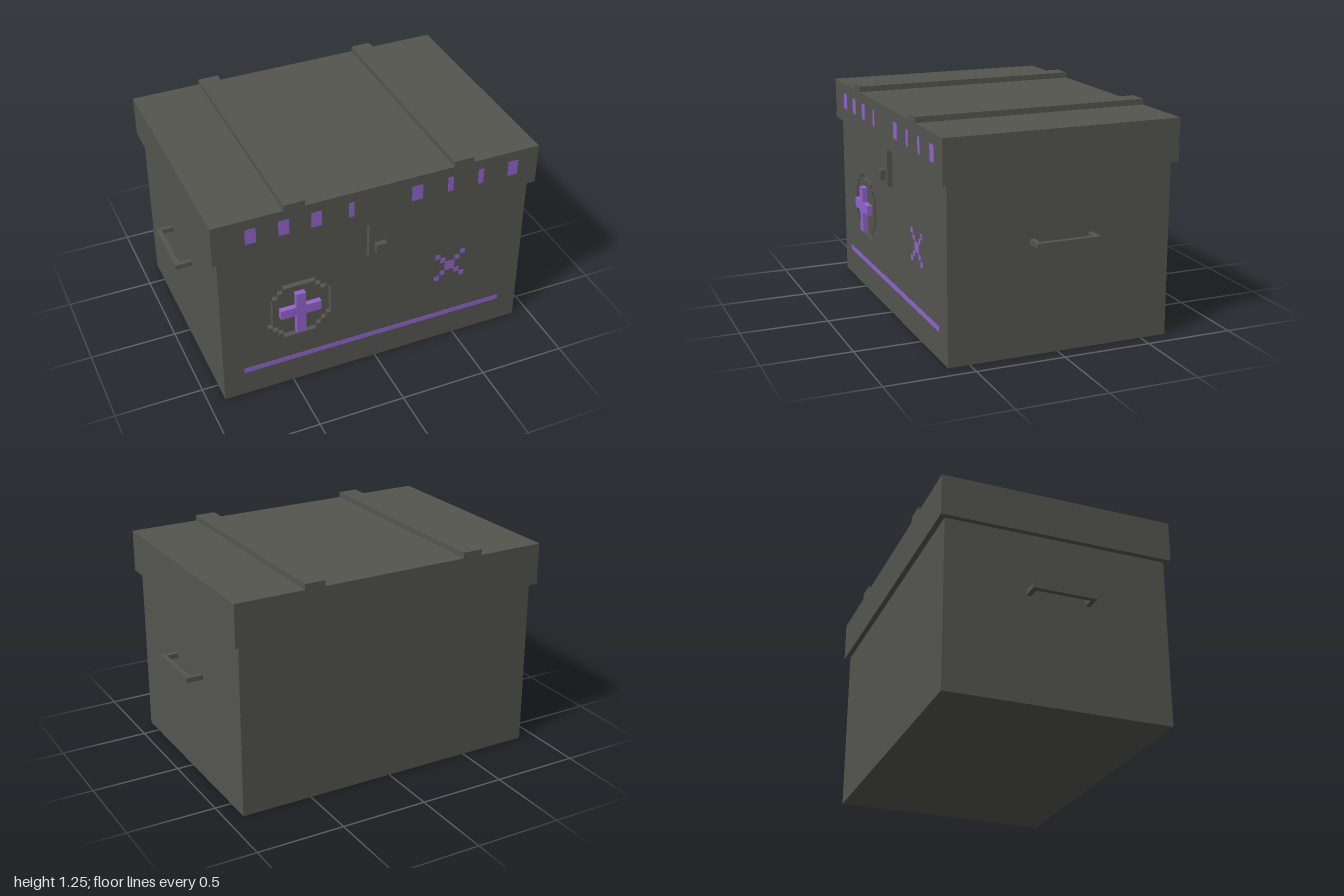
import * as THREE from 'three';

export function createModel() {
  const chest = new THREE.Group();
  chest.name = 'chest';
  const grey = new THREE.MeshStandardMaterial({ color: 0x555550 });
  grey.name = 'dark grey';
  const purple = new THREE.MeshStandardMaterial({ color: 0x9264cf });
  purple.name = 'purple';

  const FRONT = 0.62, LID_FRONT = 0.65, PX = 0.03;

  // box given by its low and high limits on each axis
  function box(name, mat, x0, x1, y0, y1, z0, z1, parent = chest) {
    const mesh = new THREE.Mesh(new THREE.BoxGeometry(x1 - x0, y1 - y0, z1 - z0), mat);
    mesh.position.set((x0 + x1) / 2, (y0 + y1) / 2, (z0 + z1) / 2);
    mesh.name = name;
    parent.add(mesh);
    return mesh;
  }

  // stepped circle outline from one quarter, turned four times
  function steppedCircle(cx, cy, quarter) {
    const pts = [];
    for (let k = 0; k < 4; k++) {
      for (const [x, y] of quarter) {
        const [rx, ry] = [[x, y], [-y, x], [-x, -y], [y, -x]][k];
        pts.push(new THREE.Vector2(cx + rx, cy + ry));
      }
    }
    return pts;
  }

  function panel(name, shape) {
    const geo = new THREE.ExtrudeGeometry(shape, { depth: PX, bevelEnabled: false });
    const mesh = new THREE.Mesh(geo, grey);
    mesh.position.z = FRONT - PX;
    mesh.name = name;
    chest.add(mesh);
  }

  // body, with a front panel cut by a sunken ring
  const cross = [-0.457, 0.518], saltire = [0.453, 0.518];
  box('body', grey, -0.906, 0.906, 0, 0.975, -0.65, FRONT - PX);
  const face = new THREE.Shape([
    new THREE.Vector2(-0.906, 0), new THREE.Vector2(0.906, 0),
    new THREE.Vector2(0.906, 0.975), new THREE.Vector2(-0.906, 0.975),
  ]);
  face.holes.push(new THREE.Path(steppedCircle(...cross, [
    [0.185, -0.095], [0.185, 0.095], [0.155, 0.095], [0.155, 0.125],
    [0.125, 0.125], [0.125, 0.155], [0.095, 0.155],
  ])));
  panel('frontPanel', face);
  panel('emblemDisc', new THREE.Shape(steppedCircle(...cross, [
    [0.155, -0.095], [0.155, 0.095], [0.125, 0.095], [0.125, 0.125], [0.095, 0.125],
  ])));

  // raised cross
  const [cx, cy] = cross;
  box('crossUpright', purple, cx - 0.028, cx + 0.028, 0.367, 0.637, FRONT, FRONT + PX);
  for (const [a, b] of [[-0.118, -0.028], [0.028, 0.118]]) {
    box('crossArm', purple, cx + a, cx + b, 0.49, 0.548, FRONT, FRONT + PX);
  }

  // painted diagonal cross
  const [sx, sy] = saltire;
  const paint = (name, x0, x1, y0, y1, z) => box(name, purple, x0, x1, y0, y1, z - 0.002, z + 0.002);
  paint('saltireCentre', sx - PX, sx + PX, sy - PX, sy + PX, FRONT);
  for (const dx of [-1, 1]) for (const dy of [-1, 1]) for (const r of [0.045, 0.077]) {
    const x = sx + dx * r, y = sy + dy * r;
    paint('saltirePixel', x - 0.015, x + 0.015, y - 0.015, y + 0.015, FRONT);
  }

  // painted base stripe
  paint('baseStripe', -0.787, 0.787, 0.155, 0.185, FRONT);

  // lid, straps and painted marks
  box('lid', grey, -0.937, 0.937, 0.975, 1.213, -0.68, LID_FRONT);
  for (const x of [-0.485, 0.483]) {
    box('lidStrap', grey, x - 0.059, x + 0.059, 1.213, 1.245, -0.68, LID_FRONT);
  }
  const marks = [[-0.756, -0.697], [-0.575, -0.516], [-0.392, -0.335], [-0.184, -0.152],
    [0.181, 0.244], [0.393, 0.425], [0.575, 0.607], [0.756, 0.815]];
  for (const [a, b] of marks) paint('lidMark', a, b, 1.062, 1.153, LID_FRONT);

  // latch
  box('latchPlate', grey, -0.063, 0.061, 0.76, 0.975, FRONT, LID_FRONT);
  box('latchKnob', grey, -0.031, 0.029, 0.793, 0.851, LID_FRONT, 0.68);

  // side handles
  for (const side of [-1, 1]) {
    const handle = new THREE.Group();
    handle.name = side > 0 ? 'leftHandle' : 'rightHandle';
    const part = (name, a, b, z0, z1) =>
      box(name, grey, Math.min(side * a, side * b), Math.max(side * a, side * b), 0.61, 0.638, z0, z1, handle);
    part('handleGrip', 0.972, 1, -0.196, 0.164);
    part('handleArm', 0.906, 0.972, -0.196, -0.17);
    part('handleArm', 0.906, 0.972, 0.138, 0.164);
    chest.add(handle);
  }
  return chest;
}
